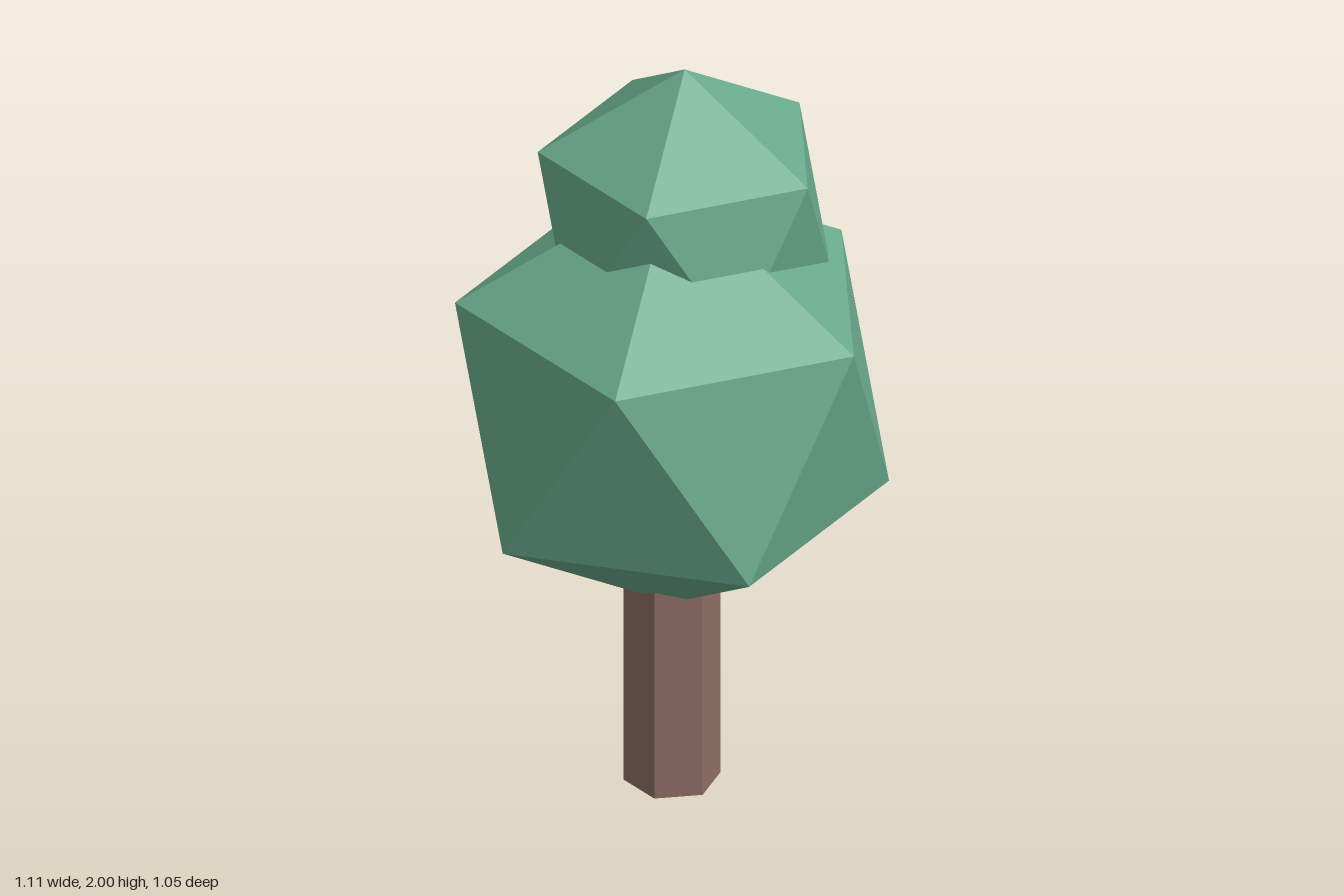
import * as THREE from 'three';

// Low-poly ball with one corner pointing straight up and a neighbouring corner towards +x
function crownGeometry(radius) {
  const golden = (1 + Math.sqrt(5)) / 2;
  return new THREE.IcosahedronGeometry(radius, 0).rotateZ(-Math.atan(1 / golden));
}

export function createModel() {
  const tree = new THREE.Group();
  tree.name = 'tree';

  const leaves = new THREE.MeshStandardMaterial({ color: 0x6aaa8c, flatShading: true });
  const bark = new THREE.MeshStandardMaterial({ color: 0x8d6e63, flatShading: true });

  // Six-sided trunk, reaching up into the foliage
  const trunkHeight = 0.85;
  const trunk = new THREE.Mesh(new THREE.CylinderGeometry(0.125, 0.125, trunkHeight, 6), bark);
  trunk.name = 'trunk';
  trunk.position.y = trunkHeight / 2;
  tree.add(trunk);

  // Two overlapping foliage balls
  const crowns = [
    { name: 'lowerFoliage', radius: 0.62, position: [0, 1.13, 0] },
    { name: 'upperFoliage', radius: 0.42, position: [0.11, 1.58, -0.085] },
  ];
  for (const { name, radius, position } of crowns) {
    const crown = new THREE.Mesh(crownGeometry(radius), leaves);
    crown.name = name;
    crown.position.set(...position);
    tree.add(crown);
  }

  return tree;
}
